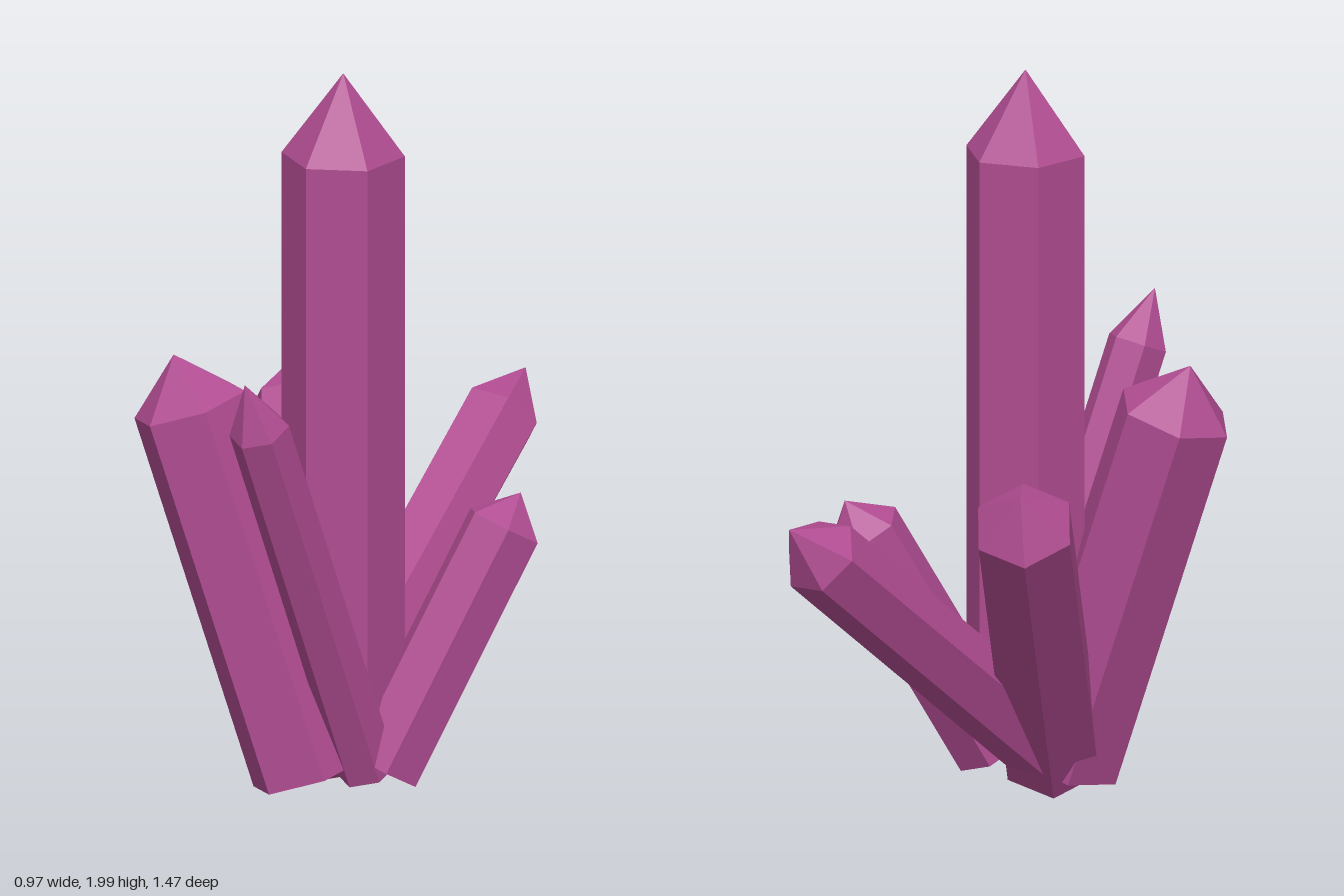
import * as THREE from 'three';

// Each crystal: centre of base, centre of shoulder, radius, tip height,
// and the horizontal direction (x, z) in which one of its corners points.
const CRYSTALS = [
  { name: 'mainCrystal', base: [0.08, 0.17, 0.195], shoulder: [0.08, 1.775, 0.195], radius: 0.165, tip: 0.225, corner: [0, 1] },
  { name: 'backCrystal', base: [0.02, 0.12, 0.24], shoulder: [-0.01, 0.834, -0.617], radius: 0.113, tip: 0.152, corner: [57, -6] },
  { name: 'backRightCrystal', base: [0.05, 0.09, 0.266], shoulder: [-0.36, 0.913, -0.206], radius: 0.14, tip: 0.13, corner: [65, -26] },
  { name: 'frontRightCrystal', base: [0.045, 0.074, 0.30], shoulder: [-0.252, 1.075, 0.431], radius: 0.159, tip: 0.143, corner: [74, -32] },
  { name: 'frontThinCrystal', base: [0.18, 0.09, 0.224], shoulder: [0.15, 1.135, 0.658], radius: 0.082, tip: 0.152, corner: [0, 1] },
  { name: 'backLeftCrystal', base: [0.213, 0.09, 0.2], shoulder: [0.379, 0.72, -0.118], radius: 0.108, tip: 0.098, corner: [53, -6] },
];

// Six-sided prism with a pointed end, standing on its base
function crystalGeometry(radius, height, tip) {
  const profile = [[0, 0], [radius, 0], [radius, height], [0, height + tip]];
  return new THREE.LatheGeometry(profile.map(([r, y]) => new THREE.Vector2(r, y)), 6);
}

export function createModel() {
  const group = new THREE.Group();
  group.name = 'crystalCluster';
  const material = new THREE.MeshStandardMaterial({ color: 0xb04c91, flatShading: true });
  material.name = 'magentaCrystal';

  for (const c of CRYSTALS) {
    const base = new THREE.Vector3(...c.base);
    const axis = new THREE.Vector3(...c.shoulder).sub(base);
    const height = axis.length();
    axis.normalize();

    // Corner direction, raised or lowered to lie square to the axis
    const [cx, cz] = c.corner;
    const corner = new THREE.Vector3(cx, -(cx * axis.x + cz * axis.z) / axis.y, cz).normalize();
    const side = new THREE.Vector3().crossVectors(axis, corner);

    const mesh = new THREE.Mesh(crystalGeometry(c.radius, height, c.tip), material);
    mesh.name = c.name;
    mesh.quaternion.setFromRotationMatrix(new THREE.Matrix4().makeBasis(side, axis, corner));
    mesh.position.copy(base);
    group.add(mesh);
  }
  return group;
}
